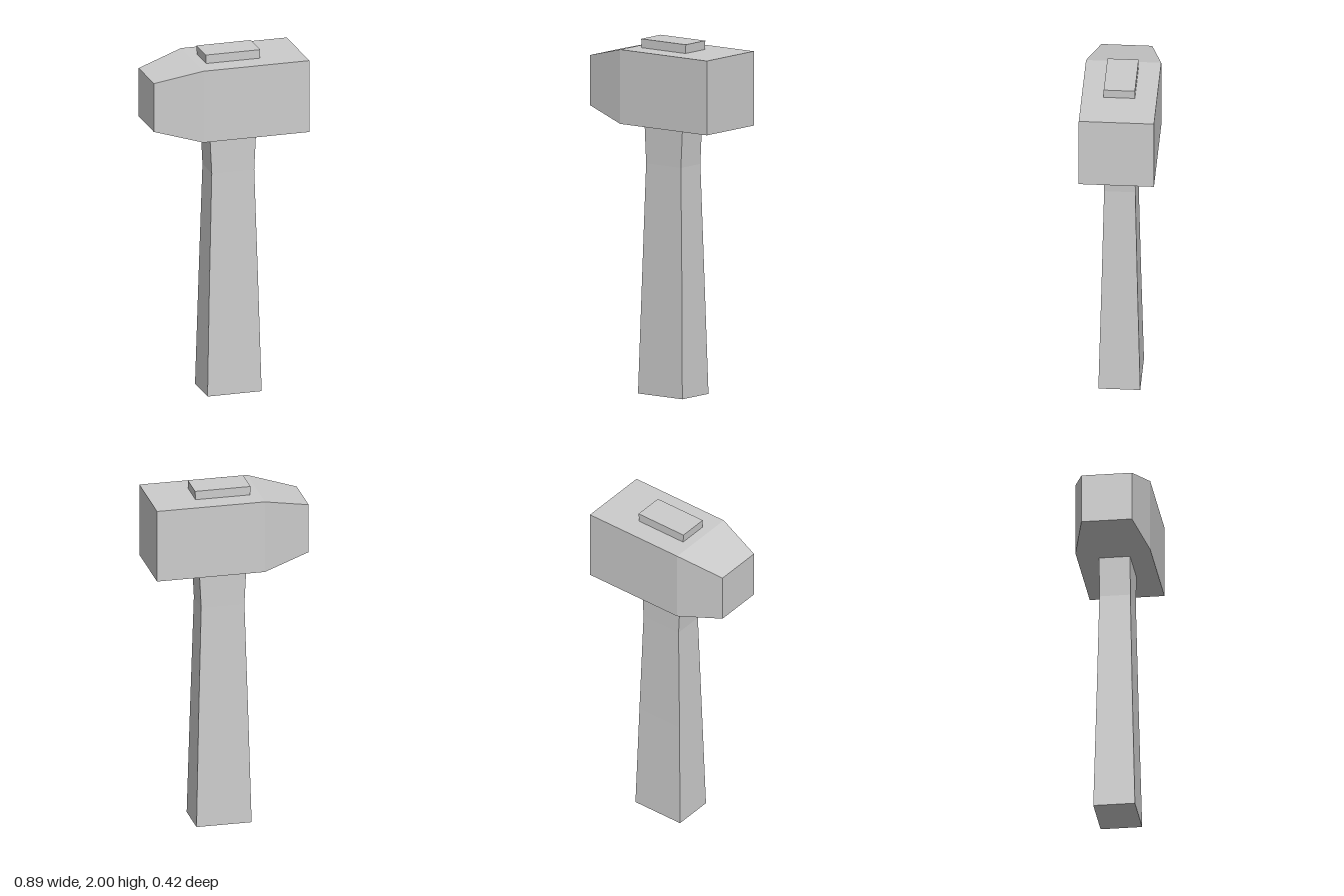
import * as THREE from 'three';

const material = new THREE.MeshStandardMaterial({ color: 0xcccccc, flatShading: true });

// Joins rectangular cross-sections stacked along +y: { y, x, z, w, d } with half sizes w and d.
function loftBox(name, sections) {
  const position = [];
  const index = [];
  for (const { y, x = 0, z = 0, w, d } of sections) {
    for (const [sx, sz] of [[-1, 1], [1, 1], [1, -1], [-1, -1]]) {
      position.push(x + sx * w, y, z + sz * d);
    }
  }
  const top = (sections.length - 1) * 4;
  for (let s = 0; s < top; s += 4) {
    for (let i = 0; i < 4; i++) {
      const a = s + i, b = s + (i + 1) % 4;
      index.push(a, b, b + 4, a, b + 4, a + 4);
    }
  }
  index.push(0, 2, 1, 0, 3, 2, top, top + 1, top + 2, top, top + 2, top + 3);

  const indexed = new THREE.BufferGeometry();
  indexed.setAttribute('position', new THREE.Float32BufferAttribute(position, 3));
  indexed.setIndex(index);
  const geometry = indexed.toNonIndexed();
  geometry.computeVertexNormals();
  const mesh = new THREE.Mesh(geometry, material);
  mesh.name = name;
  return mesh;
}

export function createModel() {
  const model = new THREE.Group();
  model.name = 'hammer';

  // Handle: narrows to a waist, then flares and pokes out above the head
  const handle = loftBox('handle', [
    { y: 0, w: 0.158, d: 0.117 },
    { y: 0.65, w: 0.142, d: 0.101 },
    { y: 1.3, w: 0.124, d: 0.087 },
    { y: 2, w: 0.159, d: 0.087 },
  ]);
  handle.position.x = 0.036;

  // Head: a square block tapering toward -x, lofted upright and laid on its side
  const head = loftBox('head', [
    { y: -0.443, w: 0.21, d: 0.21 },
    { y: 0.175, w: 0.21, d: 0.21 },
    { y: 0.443, w: 0.142, d: 0.142 },
  ]);
  head.rotation.z = Math.PI / 2;
  head.position.y = 1.74;

  model.add(handle, head);
  return model;
}
